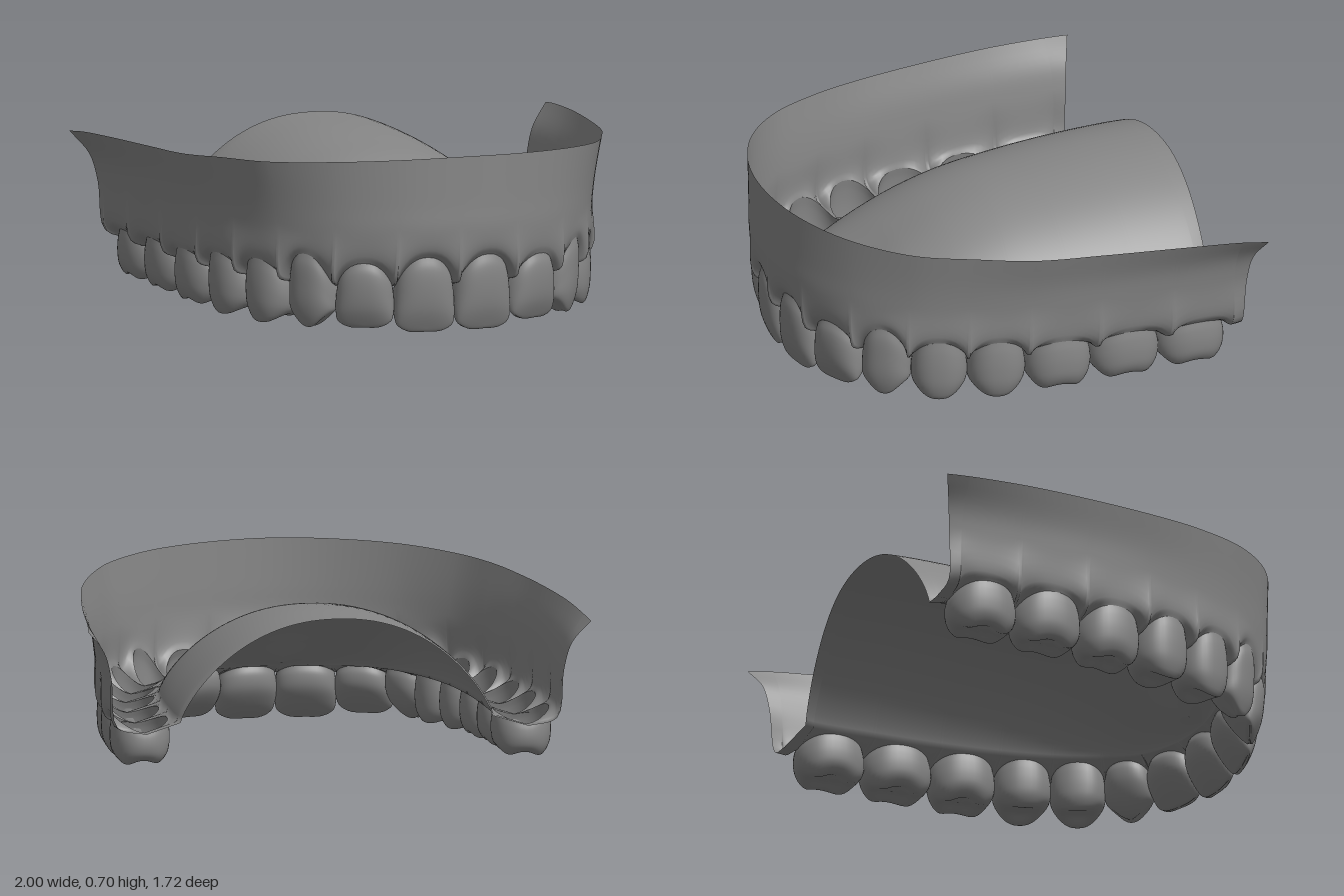
import * as THREE from 'three';
import { mergeVertices } from 'three/addons/utils/BufferGeometryUtils.js';

const V = (x, y, z) => new THREE.Vector3(x, y, z);
const material = new THREE.MeshStandardMaterial({ color: 0x868686, side: THREE.DoubleSide });
const LOW = 0.18; // gum height between two teeth

// Points on the arch (x, z) where neighbouring teeth meet, midline to back
const contacts = [[0, 0.75], [0.235, 0.72], [0.44, 0.63], [0.56, 0.48], [0.645, 0.28],
  [0.7, 0.06], [0.735, -0.2], [0.75, -0.48], [0.755, -0.755], [0.755, -0.8]];

// Half arches at the same stations: flared rim, waist, and both shoulders of the gum line
const rimHalf = [[0, 0.7, 0.857], [0.26, 0.695, 0.82], [0.5, 0.685, 0.71], [0.69, 0.67, 0.525], [0.8, 0.66, 0.3],
  [0.875, 0.645, 0.08], [0.925, 0.638, -0.2], [0.965, 0.628, -0.5], [0.988, 0.612, -0.76], [1, 0.6, -0.86]];
const waistHalf = [[0, 0.4, 0.855], [0.25, 0.4, 0.82], [0.48, 0.4, 0.71], [0.65, 0.4, 0.53], [0.755, 0.4, 0.31],
  [0.825, 0.4, 0.08], [0.87, 0.4, -0.2], [0.895, 0.4, -0.5], [0.9, 0.4, -0.76], [0.9, 0.4, -0.81]];
const outerHalf = [[0, 0.25, 0.835], [0.255, 0.25, 0.8], [0.48, 0.25, 0.695], [0.645, 0.25, 0.53], [0.75, 0.25, 0.315],
  [0.815, 0.25, 0.08], [0.853, 0.25, -0.2], [0.877, 0.25, -0.5], [0.882, 0.25, -0.76], [0.875, 0.25, -0.8]];
const innerHalf = [[0, 0.22, 0.66], [0.2, 0.22, 0.635], [0.365, 0.22, 0.55], [0.455, 0.22, 0.42], [0.53, 0.22, 0.24],
  [0.58, 0.22, 0.04], [0.612, 0.22, -0.2], [0.628, 0.22, -0.48], [0.63, 0.22, -0.74], [0.62, 0.22, -0.775]];
// Midline of the palate
const ridgeHalf = [[0, 0.24, 0.6], [0, 0.28, 0.54], [0, 0.35, 0.44], [0, 0.435, 0.31], [0, 0.515, 0.15],
  [0, 0.57, -0.03], [0, 0.6, -0.25], [0, 0.62, -0.5], [0, 0.625, -0.76], [0, 0.625, -0.82]];

// Ring profiles: [descent, width scale, depth scale, outward shift]
const BLADE = [[0, 1, 1, 0], [0.15, 1.04, 1.16, 0], [0.4, 1.07, 1.14, 0.003], [0.7, 1.06, 0.8, 0.017],
  [0.92, 1, 0.36, 0.027], [1, 0.88, 0.15, 0.03], [1, 0, 0, 0.03]];
const TUSK = [[0, 1, 1, 0], [0.15, 1.04, 1.08, 0], [0.4, 1.06, 1.04, 0.002], [0.7, 1.03, 0.84, 0.012],
  [0.9, 0.9, 0.55, 0.022], [1, 0.6, 0.28, 0.03], [1, 0, 0, 0.03]];
const GRINDER = [[0, 1, 1, 0], [0.2, 1.05, 1.06, 0], [0.5, 1.06, 1.08, 0], [0.8, 0.98, 1.01, 0],
  [1, 0.8, 0.8, 0], [0.99, 0.6, 0.6, 0], [0.88, 0.3, 0.3, 0], [0.84, 0, 0, 0]];

// Height changes of the biting edge around the tooth
const flatEdge = (a) => 0.02 * Math.cos(a) ** 4;
const pointEdge = (a) => 0.06 * Math.cos(a) ** 2;
const twoCusps = (a) => 0.035 * Math.cos(a) ** 2 - 0.008 * Math.sin(a) + 0.008;
const fourCusps = (a) => 0.01 * (1 + Math.cos(4 * a)) - 0.004 * Math.sin(a);

const teeth = [
  { name: 'centralIncisor', depth: 0.075, top: 0.3, bottom: 0, profile: BLADE, edge: flatEdge },
  { name: 'lateralIncisor', depth: 0.075, top: 0.28, bottom: 0.02, profile: BLADE, edge: flatEdge },
  { name: 'canine', depth: 0.085, top: 0.31, bottom: 0.015, profile: TUSK, edge: pointEdge },
  { name: 'firstPremolar', depth: 0.098, top: 0.27, bottom: 0.015, profile: GRINDER, edge: twoCusps },
  { name: 'secondPremolar', depth: 0.105, top: 0.265, bottom: 0.02, profile: GRINDER, edge: twoCusps },
  { name: 'firstMolar', depth: 0.108, top: 0.245, bottom: 0.035, profile: GRINDER, edge: fourCusps },
  { name: 'secondMolar', depth: 0.108, top: 0.245, bottom: 0.045, profile: GRINDER, edge: fourCusps },
  { name: 'thirdMolar', depth: 0.108, top: 0.235, bottom: 0.05, profile: GRINDER, edge: fourCusps },
];
// Local frame of each tooth: centre, half width, direction along the arch and outward
teeth.forEach((t, i) => {
  const [x0, z0] = contacts[i], [x1, z1] = contacts[i + 1];
  const length = Math.hypot(x1 - x0, z1 - z0);
  t.along = V((x1 - x0) / length, 0, (z1 - z0) / length);
  t.out = V(-t.along.z, 0, t.along.x);
  t.half = length * 0.48;
  t.centre = V((x0 + x1) / 2, 0, (z0 + z1) / 2).addScaledVector(t.out, 0.006);
});

const soft = (v) => Math.sign(v) * Math.abs(v) ** 0.88;
const place = (t, w, n, y) =>
  t.centre.clone().addScaledVector(t.along, w * t.half).addScaledVector(t.out, n * t.depth).setY(y);
// Scalloped gum line: high on the cheek side, shallow on the palate side
const marginY = (t, a) => {
  const n = Math.sin(a);
  return LOW + (n > 0 ? t.top - LOW : 0.04) * Math.abs(n) ** 1.4;
};
const margin = (t, a) => place(t, soft(Math.cos(a)), soft(Math.sin(a)), marginY(t, a));

// Smooth curve through a half arch and its mirror image, read by station -9..9
function archCurve(half) {
  const points = half.map((p) => V(...p));
  const mirrored = points.slice(1).reverse().map((p) => V(-p.x, p.y, p.z));
  const curve = new THREE.CatmullRomCurve3([...mirrored, ...points]);
  return (u) => curve.getPoint((u + 9) / 18);
}
const [rim, waist, outer, inner] = [rimHalf, waistHalf, outerHalf, innerHalf].map(archCurve);
const ridgeCurve = new THREE.CatmullRomCurve3(ridgeHalf.map((p) => V(...p)));

const smoothRow = (points, n) => new THREE.CatmullRomCurve3(points).getPoints(n);

// Surface from equally long columns of points
function skin(columns) {
  const rows = columns[0].length, index = [];
  for (let c = 0; c < columns.length - 1; c++) {
    for (let r = 0; r < rows - 1; r++) {
      const a = c * rows + r, b = a + rows;
      index.push(a, a + 1, b, b, a + 1, b + 1);
    }
  }
  let geometry = new THREE.BufferGeometry().setFromPoints(columns.flat());
  geometry.setIndex(index);
  geometry = mergeVertices(geometry, 1e-4);
  geometry.computeVertexNormals();
  return geometry;
}

// Stations along the half arch: u, tooth and angle around its opening
function stations() {
  const list = [], steps = 16;
  teeth.forEach((t, i) => {
    for (let k = 0; k <= steps; k++) {
      const a = Math.PI * (1 - k / steps);
      list.push({ u: i + (soft(Math.cos(a)) * 0.96 + 1) / 2, t, a, back: 0 });
    }
  });
  for (const f of [0.5, 1]) list.push({ u: 8 + f, t: teeth[7], a: 0, back: 0.055 * f });
  return list;
}

// Gum column on the cheek side: rim, waist, shoulder, gum line
function wallColumn({ u, t, a, back }) {
  const top = rim(u), mid = waist(u), low = margin(t, a);
  const flare = mid.clone().lerp(top, 0.3).setY(0.51);
  const y = low.y + 0.03;
  const shoulder = outer(u).lerp(mid, Math.max(0, (y - 0.25) / 0.15) * 0.7).setY(y);
  low.z -= back;
  return smoothRow([top, flare, mid, shoulder, low], 20);
}

// Gum column on the palate side: gum line, inner shoulder, dome up to the midline
function palateColumn({ u, t, a, back }) {
  const low = margin(t, -a), shoulder = inner(u), peak = ridgeCurve.getPoint(u / 9);
  low.z -= back;
  const points = [low];
  for (let k = 0; k <= 24; k++) {
    const f = (k / 24) ** 1.4, p = shoulder.clone().lerp(peak, f);
    p.y = shoulder.y + (peak.y - shoulder.y) * (1 - (1 - f) ** 2.2) ** 0.78;
    p.z = shoulder.z + (peak.z - shoulder.z) * Math.sin(f * Math.PI / 2);
    points.push(p);
  }
  return points;
}

// Both halves of the arch as one run of columns, right back to left back
function bothSides(makeColumn) {
  const left = stations().map(makeColumn);
  const right = left.map((col) => col.map((p) => V(-p.x, p.y, p.z))).reverse();
  return [...right, ...left];
}

// Hollow crown, open at the gum line
function crown(t) {
  const columns = [];
  for (let k = 0; k <= 40; k++) {
    const a = -2 * Math.PI * (k % 40) / 40;
    const w = soft(Math.cos(a)), n = soft(Math.sin(a)), y0 = marginY(t, a);
    columns.push(smoothRow(t.profile.map(([v, sw, sn, shift]) => {
      const y = (sw ? y0 : LOW) * (1 - v) + t.bottom * v + t.edge(a) * v ** 3 * sw;
      return place(t, w * sw, n * sn + shift / t.depth, y);
    }), 28));
  }
  return skin(columns);
}

export function createModel() {
  const model = new THREE.Group();
  model.name = 'upperDenture';
  const add = (name, geometry) => {
    const mesh = new THREE.Mesh(geometry, material);
    mesh.name = name;
    model.add(mesh);
    return mesh;
  };
  add('gumWall', skin(bothSides(wallColumn)));
  add('palate', skin(bothSides(palateColumn)));
  for (const t of teeth) {
    const geometry = crown(t);
    add(t.name + 'Left', geometry);
    add(t.name + 'Right', geometry).scale.x = -1;
  }
  return model;
}
